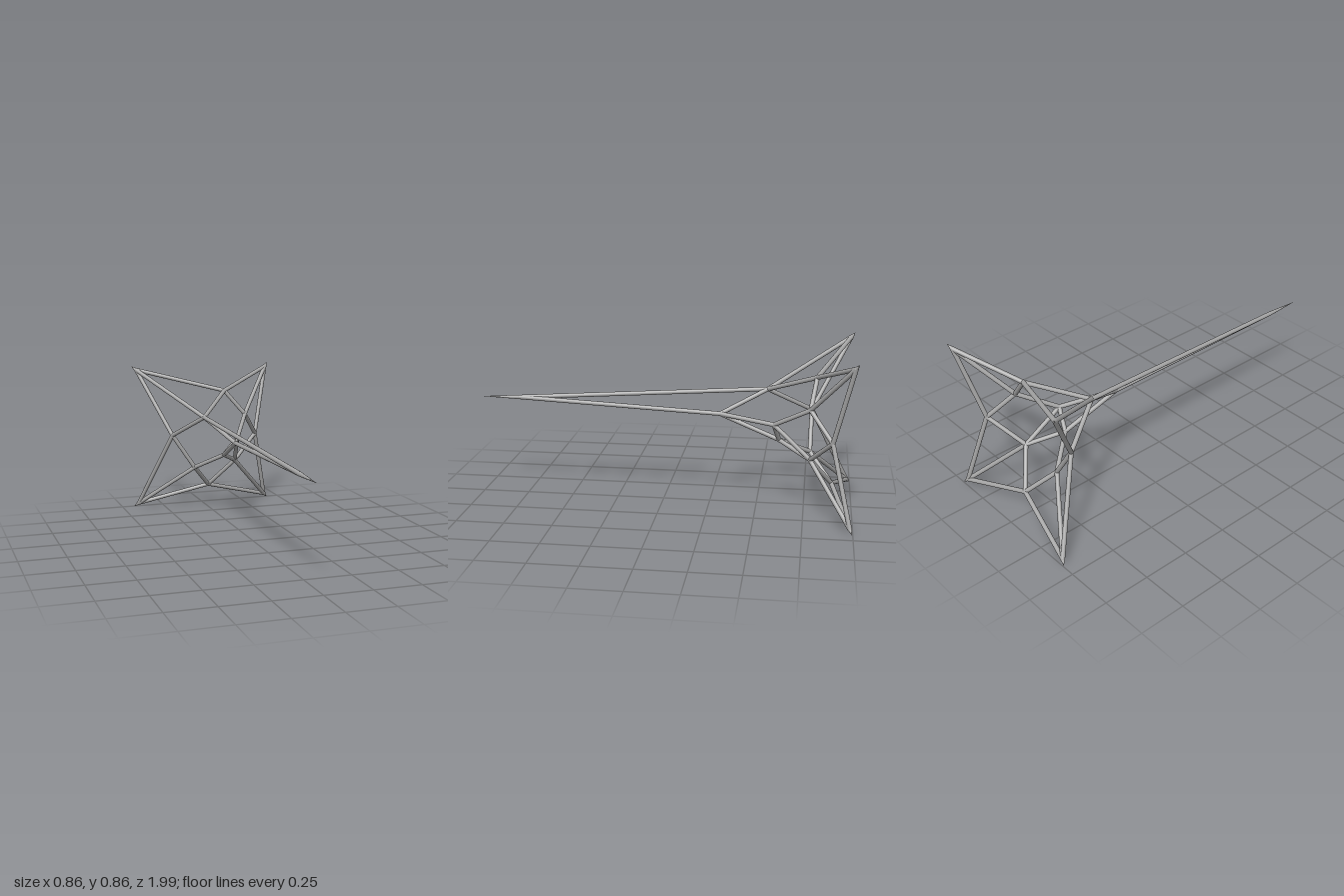
import * as THREE from 'three';

const RADIUS = 0.0118;
const UP = new THREE.Vector3(0, 1, 0);

// Junctions of the frame: [x, y, z, optional length of the pointed tip]
const NODES = {
  topRightTip: [-0.427, 0.854, -0.996, 0.035],
  topLeftTip: [0.427, 0.854, -0.996, 0.035],
  lowRightTip: [-0.427, 0, -0.996, 0.035],
  lowLeftTip: [0.427, 0, -0.996, 0.035],
  frontTip: [-0.04, 0.523, 0.996, 0.2],
  crown: [0.09, 0.713, -0.8],
  shoulder: [-0.11, 0.598, -0.543],
  upperLeft: [0.21, 0.571, -0.773],
  sideRight: [-0.238, 0.463, -0.777],
  sideLeft: [0.312, 0.43, -0.888],
  nose: [0, 0.482, -0.3],
  cheek: [0.103, 0.46, -0.587],
  chin: [0.028, 0.36, -0.613],
  lowerLeft: [0.146, 0.293, -0.777],
  lowerRight: [-0.105, 0.264, -0.774],
  base: [0.012, 0.13, -0.892],
};

// Which junctions each one is joined to
const BARS = {
  topRightTip: ['crown', 'shoulder', 'sideRight'],
  topLeftTip: ['crown', 'upperLeft', 'sideLeft'],
  lowRightTip: ['sideRight', 'lowerRight', 'base'],
  lowLeftTip: ['sideLeft', 'lowerLeft', 'base'],
  frontTip: ['shoulder', 'nose'],
  shoulder: ['crown', 'sideRight', 'nose'],
  upperLeft: ['crown', 'cheek', 'sideLeft'],
  lowerRight: ['sideRight', 'chin', 'base'],
  lowerLeft: ['sideLeft', 'base', 'cheek', 'chin'],
  nose: ['cheek', 'chin'],
  cheek: ['chin'],
};

const at = (name) => new THREE.Vector3(...NODES[name].slice(0, 3));

// Point where the bars of a tip meet, set back from the tip itself
function meetingPoint(name) {
  const tip = at(name);
  const inset = NODES[name][3];
  if (!inset) return tip;
  const inward = new THREE.Vector3();
  for (const to of BARS[name]) inward.add(at(to).sub(tip).normalize());
  return tip.addScaledVector(inward.normalize(), inset);
}

// Round rod from a to b with its own end radius
function rod(name, a, b, endRadius, material) {
  const dir = b.clone().sub(a);
  const mesh = new THREE.Mesh(
    new THREE.CylinderGeometry(endRadius, RADIUS, dir.length(), 18, 1, true), material);
  mesh.name = name;
  mesh.position.copy(a).add(b).multiplyScalar(0.5);
  mesh.quaternion.setFromUnitVectors(UP, dir.normalize());
  return mesh;
}

export function createModel() {
  const model = new THREE.Group();
  model.name = 'starFrame';
  const steel = new THREE.MeshStandardMaterial({ color: 0xa6a6a6 });
  steel.name = 'grey steel';

  // Straight bars between the junctions
  for (const [from, targets] of Object.entries(BARS)) {
    for (const to of targets) {
      model.add(rod(`bar ${from} to ${to}`, meetingPoint(from), at(to), RADIUS, steel));
    }
  }

  // Round knots close the bar ends, and cones form the pointed tips
  const knot = new THREE.SphereGeometry(RADIUS * 1.02, 18, 12);
  for (const name of Object.keys(NODES)) {
    const joint = new THREE.Mesh(knot, steel);
    joint.name = `joint ${name}`;
    joint.position.copy(meetingPoint(name));
    model.add(joint);
    if (NODES[name][3]) model.add(rod(`point ${name}`, joint.position, at(name), 0.0008, steel));
  }
  return model;
}
